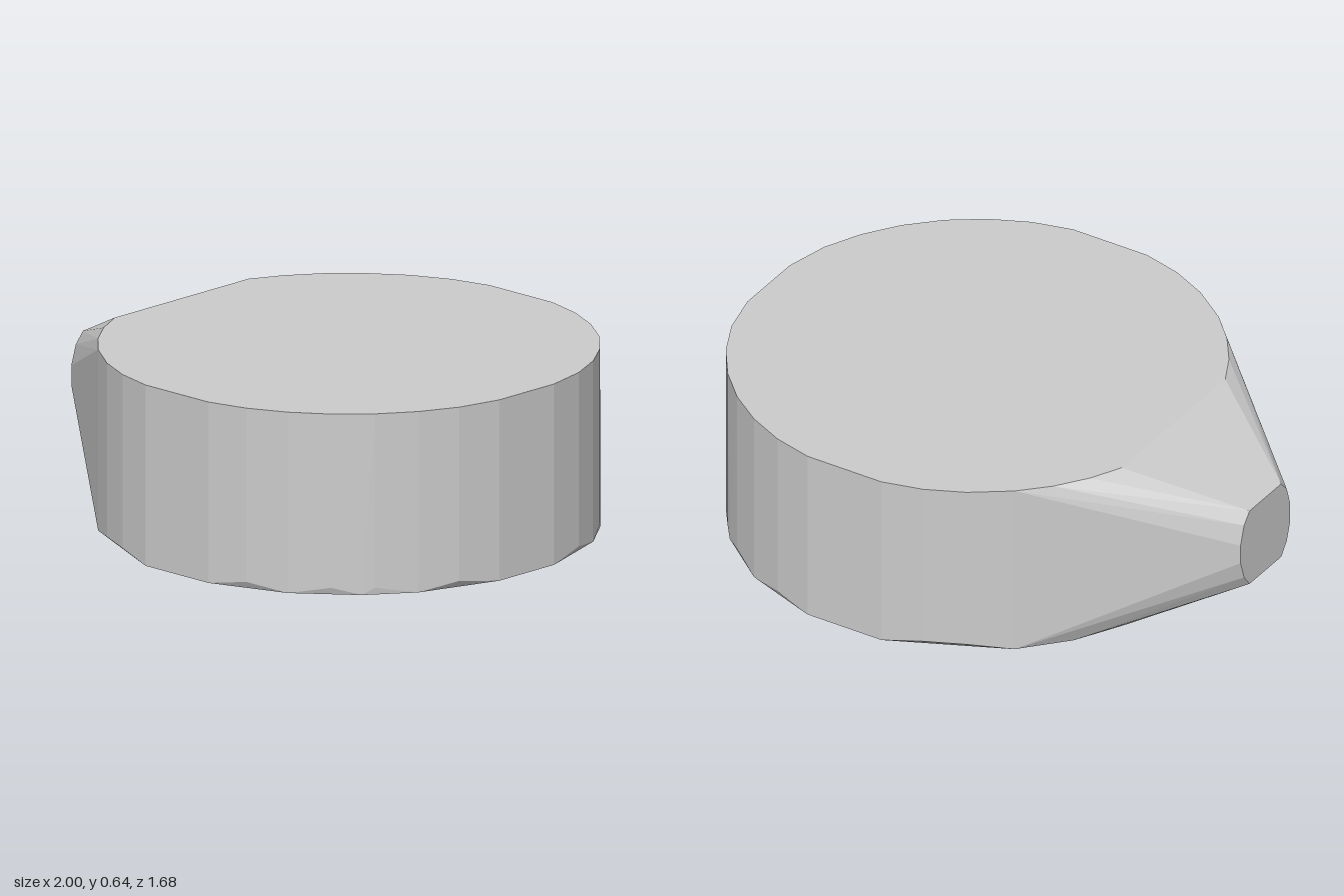
import * as THREE from 'three';
import { ConvexGeometry } from 'three/addons/geometries/ConvexGeometry.js';

const RADIUS = 0.855, CENTER_X = 0.16, HEIGHT = 0.64, LIMIT = 0.84;

// Points on both sides of the drum rim, at angles in degrees from +x.
function rim(angles, y) {
  const points = [];
  for (const degrees of angles) {
    const a = THREE.MathUtils.degToRad(degrees);
    const x = CENTER_X + Math.min(RADIUS * Math.cos(a), LIMIT);
    const z = Math.min(RADIUS * Math.sin(a), LIMIT);
    points.push(new THREE.Vector3(x, y, z), new THREE.Vector3(x, y, -z));
  }
  return points;
}

export function createModel() {
  const group = new THREE.Group();
  group.name = 'spoutedDrum';

  // Fine rim above, coarser base that leaves small chamfers.
  const fine = [9, 20, 30, 40, 50, 60, 70, 80, 100, 110, 120, 131, 140, 149, 157.5];
  const coarse = [9, 30, 43, 60, 80, 100, 131, 145, 157.5];
  const points = [
    ...rim(fine, HEIGHT),
    ...rim(fine, 0.025),
    ...rim(coarse, 0),
  ];

  // Small faceted end of the tapered nose: [y, half width].
  const tip = [[0.47, 0.1], [0.43, 0.135], [0.36, 0.157], [0.29, 0.157], [0.22, 0.135], [0.175, 0.1]];
  for (const [y, z] of tip) {
    points.push(new THREE.Vector3(-1, y, z), new THREE.Vector3(-1, y, -z));
  }

  // Drum and nose joined in one convex shell.
  const material = new THREE.MeshStandardMaterial({ color: 0xcccccc, flatShading: true });
  const body = new THREE.Mesh(new ConvexGeometry(points), material);
  body.name = 'drumBody';
  group.add(body);
  return group;
}
